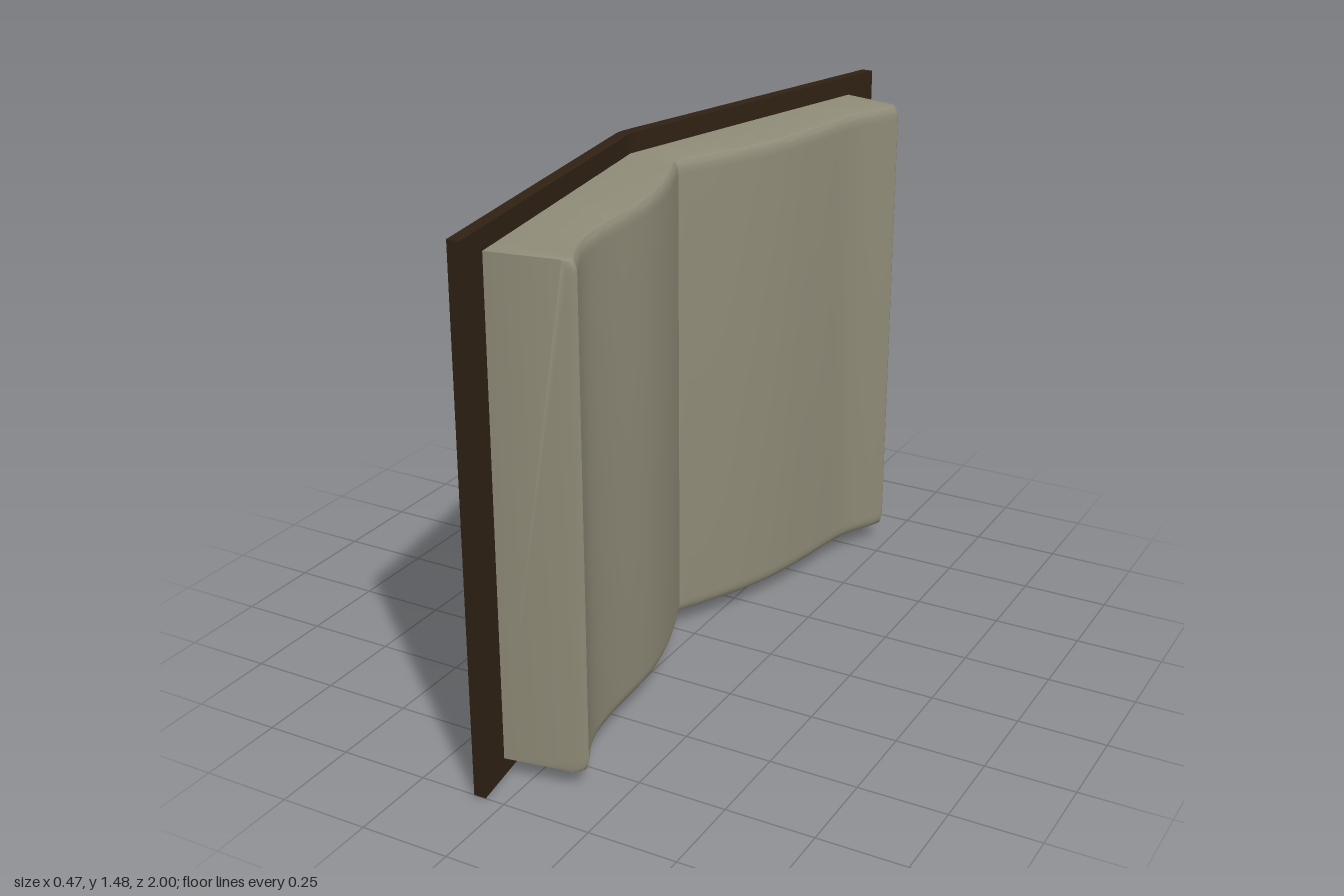
import * as THREE from 'three';
import { toCreasedNormals } from 'three/addons/utils/BufferGeometryUtils.js';

const HEIGHT = 1.48;
const PAGE_LOW = 0.055, PAGE_HIGH = 1.425;
const v = (x, z) => new THREE.Vector2(x, z);

// Bent board: a plan outline (x, z) raised to the full height
function coverGeometry() {
  const plan = [
    [0.035, -1], [-0.231, -0.025], [-0.235, 0], [-0.232, 0.025], [-0.09, 1],
    [-0.055, 1], [-0.196, 0.02], [-0.198, 0], [-0.195, -0.02], [0.068, -1],
  ];
  const shape = new THREE.Shape(plan.map(([x, z]) => v(x, -z)));
  const geometry = new THREE.ExtrudeGeometry(shape, { depth: HEIGHT, bevelEnabled: false });
  return geometry.rotateX(-Math.PI / 2);
}

// Stations from the gutter to one fore edge: a back point on the board, a front point on the page
function halfStations(curve, corner, backEdge) {
  const front = [...new THREE.SplineCurve(curve).getSpacedPoints(28), ...corner];
  const spine = v(-0.198, 0);
  return front.map((f, i) => ({
    front: f,
    back: spine.clone().lerp(backEdge, i / (front.length - 1)),
  }));
}

// Closed section of the page block, with the front edges rounded at top and bottom
function section({ back, front }) {
  const depth = front.distanceTo(back), rx = 0.018, ry = 0.04, steps = 6;
  const ring = [];
  const add = (d, y) => {
    const p = back.clone().lerp(front, d / depth);
    ring.push([p.x, y, p.y]);
  };
  add(0, PAGE_LOW);
  for (let i = 0; i <= steps; i++) {
    const a = (i / steps) * Math.PI / 2;
    add(depth - rx + rx * Math.sin(a), PAGE_LOW + ry - ry * Math.cos(a));
  }
  for (let i = 0; i <= steps; i++) {
    const a = (i / steps) * Math.PI / 2;
    add(depth - rx + rx * Math.cos(a), PAGE_HIGH - ry + ry * Math.sin(a));
  }
  add(0, PAGE_HIGH);
  return ring;
}

// Skin the sections in order and close both fore edges
function pagesGeometry() {
  const far = halfStations(
    [v(-0.05, 0), v(0.04, -0.18), v(0.1, -0.35), v(0.135, -0.52), v(0.163, -0.68), v(0.222, -0.81)],
    [v(0.23, -0.828), v(0.226, -0.84), v(0.212, -0.846)], v(0.037, -0.893));
  const near = halfStations(
    [v(-0.05, 0), v(0.015, 0.165), v(0.06, 0.35), v(0.076, 0.585), v(0.1, 0.72), v(0.148, 0.825)],
    [v(0.156, 0.84), v(0.152, 0.85), v(0.138, 0.858)], v(-0.068, 0.893));
  const rings = [...far.reverse(), ...near.slice(1)].map(section);
  const n = rings[0].length, last = (rings.length - 1) * n;
  const index = [];
  for (let i = 0; i < rings.length - 1; i++) {
    for (let j = 0; j < n; j++) {
      const k = (j + 1) % n;
      const a = i * n + j, b = i * n + k, c = a + n, d = b + n;
      index.push(a, b, c, b, d, c);
    }
  }
  for (let j = 1; j < n - 1; j++) {
    index.push(0, j + 1, j);
    index.push(last, last + j, last + j + 1);
  }
  const geometry = new THREE.BufferGeometry();
  geometry.setAttribute('position', new THREE.Float32BufferAttribute(rings.flat(2), 3));
  geometry.setIndex(index);
  return toCreasedNormals(geometry, 0.65);
}

export function createModel() {
  const book = new THREE.Group();
  book.name = 'openBook';
  const addPart = (name, geometry, color) => {
    const mesh = new THREE.Mesh(geometry, new THREE.MeshStandardMaterial({ color }));
    mesh.name = name;
    book.add(mesh);
  };
  addPart('cover', coverGeometry(), 0x302214);
  addPart('pages', pagesGeometry(), 0x8f8b78);
  return book;
}
